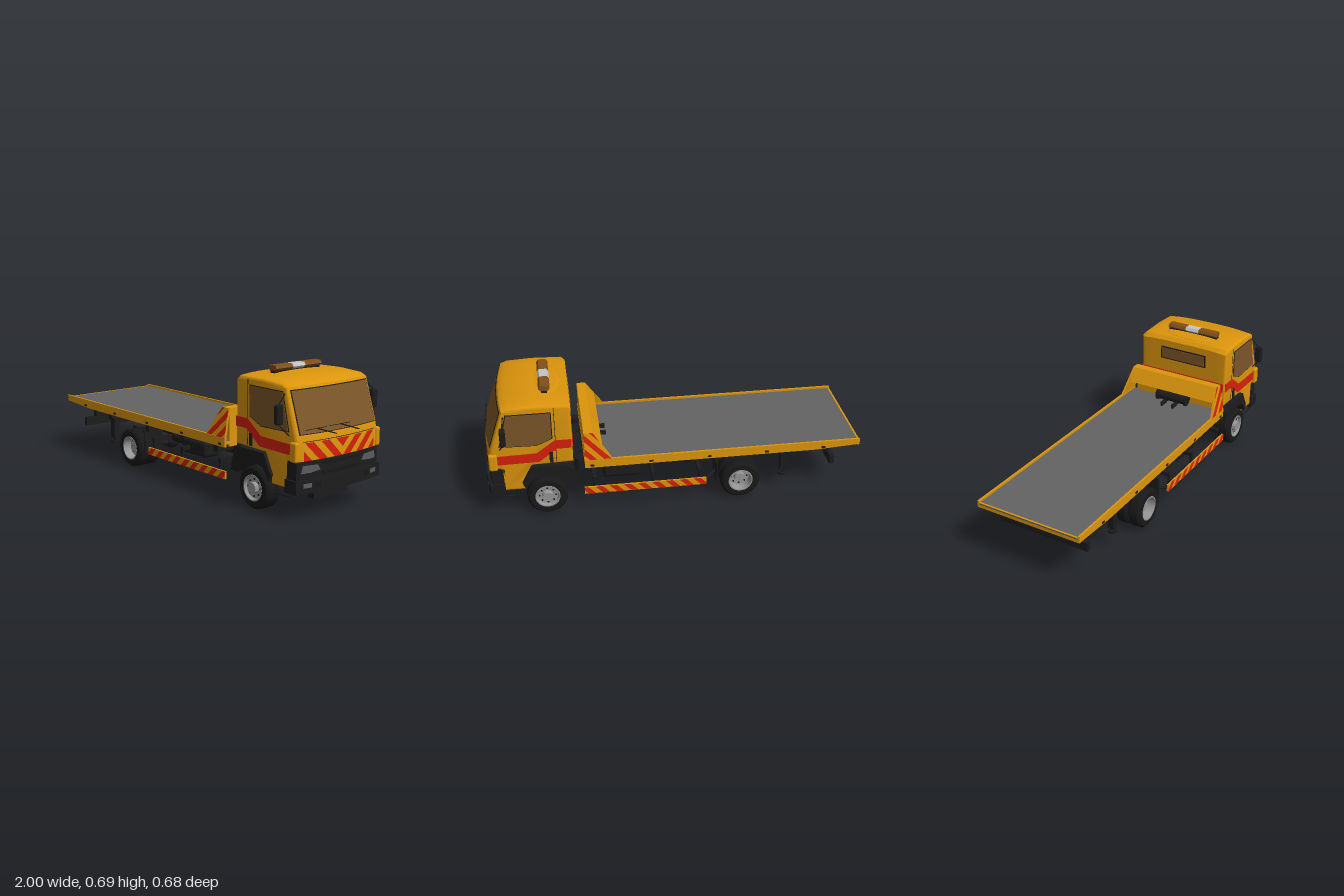
import * as THREE from 'three';
import { toCreasedNormals } from 'three/addons/utils/BufferGeometryUtils.js';
import { RoundedBoxGeometry } from 'three/addons/geometries/RoundedBoxGeometry.js';

const mat = (name, color) => {
  const m = new THREE.MeshStandardMaterial({ color });
  m.name = name;
  return m;
};

export function createModel() {
  const root = new THREE.Group();
  root.name = 'flatbedTruck';
  const yellow = mat('yellowPaint', 0xdc950c), red = mat('redPaint', 0xd6200c);
  const black = mat('blackPlastic', 0x1c1c1e), rubber = mat('tyreRubber', 0x181818);
  const deckGrey = mat('deckGrey', 0x636363), steel = mat('wheelSteel', 0x959595);
  const glass = mat('tintedGlass', 0x7c5629), amber = mat('beaconAmber', 0x80501a);
  const white = mat('beaconWhite', 0xc4c4c4), lampGrey = mat('lampGrey', 0x5c5c5c);

  const add = (name, geo, material, x = 0, y = 0, z = 0) => {
    const m = new THREE.Mesh(geo, material);
    m.name = name;
    m.position.set(x, y, z);
    root.add(m);
    return m;
  };
  // Box given by its min and max on each axis
  const box = (name, material, x0, x1, y0, y1, z0, z1) =>
    add(name, new THREE.BoxGeometry(x1 - x0, y1 - y0, z1 - z0), material, (x0 + x1) / 2, (y0 + y1) / 2, (z0 + z1) / 2);
  const rod = (name, material, a, b, r) => {
    const p = new THREE.Vector3(...a), q = new THREE.Vector3(...b), d = q.clone().sub(p);
    const m = add(name, new THREE.CylinderGeometry(r, r, d.length(), 10), material);
    m.position.copy(p).add(q).multiplyScalar(0.5);
    m.quaternion.setFromUnitVectors(new THREE.Vector3(0, 1, 0), d.normalize());
  };
  const shapeOf = pts => new THREE.Shape(pts.map(p => new THREE.Vector2(p[0], p[1])));
  // Prism with an x-y outline between z0 and z1
  const prism = (name, material, pts, z0, z1) =>
    add(name, new THREE.ExtrudeGeometry(shapeOf(pts), { depth: z1 - z0, bevelEnabled: false }), material, 0, 0, z0);
  // The same on side s, from z outward by d
  const plate = (name, material, pts, z, d, s) =>
    s > 0 ? prism(name, material, pts, z, z + d) : prism(name, material, pts, -z - d, -z);

  // Diagonal bands cut out of a convex polygon
  const clip = (poly, f) => {
    const out = [];
    poly.forEach((a, i) => {
      const b = poly[(i + 1) % poly.length], fa = f(a), fb = f(b);
      if (fa >= 0) out.push(a);
      if (fa * fb < 0) {
        const t = fa / (fa - fb);
        out.push([a[0] + (b[0] - a[0]) * t, a[1] + (b[1] - a[1]) * t]);
      }
    });
    return out;
  };
  const bands = (poly, start, period, width, count) => {
    const out = [];
    for (let i = 0; i < count; i++) {
      const c = start + i * period;
      const p = clip(clip(poly, q => q[0] - q[1] - c), q => c + width - q[0] + q[1]);
      if (p.length > 2) out.push(p);
    }
    return out;
  };

  // Curved nose: everything on the front bows back towards the sides
  const bow = (x, z) => 0.36 * z * z * THREE.MathUtils.clamp((x - 0.7) / 0.3, 0, 1);
  const bend = geo => {
    const p = geo.attributes.position;
    for (let i = 0; i < p.count; i++) p.setX(i, p.getX(i) - bow(p.getX(i), p.getZ(i)));
    geo.computeVertexNormals();
    return geo;
  };
  const frontX = y => y > 0.4 ? 0.9 + (0.625 - y) / 0.21 * 0.075 : 0.985;
  const bentBox = (name, material, x0, x1, y0, y1, w) => {
    const g = new THREE.BoxGeometry(x1 - x0, y1 - y0, 2 * w, 1, 1, 14);
    add(name, toCreasedNormals(bend(g.translate((x0 + x1) / 2, (y0 + y1) / 2, 0)), 0.6), material);
  };
  const onFront = (name, geo, material, off) => {
    geo.rotateY(Math.PI / 2);
    const p = geo.attributes.position;
    for (let i = 0; i < p.count; i++) p.setX(i, frontX(p.getY(i)) + off);
    add(name, bend(geo), material);
  };

  // Cab shell with a crowned roof
  const cab = new THREE.ExtrudeGeometry(shapeOf([[0.535, 0.3], [0.535, 0.63], [0.555, 0.65], [0.72, 0.655], [0.865, 0.648],
    [0.9, 0.625], [0.975, 0.415], [0.985, 0.375], [0.985, 0.285], [0.935, 0.285], [0.93, 0.15], [0.8, 0.15], [0.79, 0.21], [0.75, 0.295]]),
    { depth: 0.52, steps: 10, bevelSize: 0.015, bevelThickness: 0.015, bevelOffset: -0.015, bevelSegments: 4 }).translate(0, 0, -0.26);
  const cp = cab.attributes.position;
  for (let i = 0; i < cp.count; i++) if (cp.getY(i) > 0.628) cp.setY(i, cp.getY(i) - 0.01 * (cp.getZ(i) / 0.27) ** 4);
  add('cab', toCreasedNormals(bend(cab), 0.6), yellow);
  const mound = add('roofMound', new THREE.SphereGeometry(1, 24, 12), yellow, 0.645, 0.65, 0);
  mound.scale.set(0.075, 0.009, 0.16);

  // Windscreen, nose chevrons, lamps
  onFront('windscreenSeal', new THREE.PlaneGeometry(0.514, 0.203, 16, 1).translate(0, 0.512, 0), black, 0.003);
  onFront('windscreen', new THREE.PlaneGeometry(0.504, 0.195, 16, 1).translate(0, 0.512, 0), glass, 0.006);
  onFront('noseSeam', new THREE.PlaneGeometry(0.48, 0.003, 16, 1).translate(0, 0.379, 0), black, 0.002);
  for (const s of [1, -1]) {
    for (const p of bands([[0, 0], [0.237, 0], [0.237, 0.086], [0, 0.086]], -0.092, 0.094, 0.05, 4))
      onFront('noseChevron', new THREE.ShapeGeometry(shapeOf(p.map(q => [-s * q[0], q[1] + 0.288]))), red, 0.004);
    onFront('headlight', new THREE.ShapeGeometry(shapeOf([[0.14, 0.238], [0.155, 0.265], [0.242, 0.268], [0.253, 0.23], [0.2, 0.231]]
      .map(q => [-s * q[0], q[1]]))), lampGrey, 0.005);
    onFront('fogLamp', new THREE.PlaneGeometry(0.046, 0.022).translate(s * 0.223, 0.174, 0), lampGrey, 0.017);
    onFront('fogLampRecess', new THREE.PlaneGeometry(0.036, 0.03).translate(s * 0.163, 0.172, 0), rubber, 0.017);
  }
  bentBox('grille', black, 0.91, 0.986, 0.195, 0.287, 0.275);
  for (const y of [0.222, 0.268]) bentBox('grilleSlat', rubber, 0.95, 0.991, y - 0.007, y + 0.007, 0.125);
  bentBox('bumper', black, 0.915, 1, 0.135, 0.198, 0.285);

  // Wipers
  for (const z of [0.165, 0.01]) {
    rod('wiperBlade', black, [0.974, 0.436, z + 0.07], [0.976, 0.436, z - 0.068], 0.0015);
    rod('wiperArm', black, [0.976, 0.436, z - 0.005], [0.986, 0.397, z - 0.122], 0.003);
  }

  // Beacon bar and rear cab face
  const beacon = [[0.643, 0.663], [0.63, 0.675], [0.64, 0.69], [0.68, 0.69], [0.69, 0.675], [0.677, 0.663]];
  box('beaconFoot', black, 0.645, 0.675, 0.65, 0.664, -0.153, 0.153);
  prism('beaconLeft', amber, beacon, 0.041, 0.153);
  prism('beaconCentre', white, beacon, -0.041, 0.041);
  prism('beaconRight', amber, beacon, -0.153, -0.041);
  box('rearWindowSeal', black, 0.532, 0.536, 0.515, 0.59, -0.145, 0.145);
  box('rearWindow', glass, 0.529, 0.536, 0.522, 0.583, -0.137, 0.137);
  box('rearStripe', red, 0.531, 0.537, 0.388, 0.44, -0.262, 0.262);

  // Wheels
  const wheel = (x, z, w, s, hub) => {
    const h = w / 2, g = new THREE.Group();
    g.name = 'wheel';
    const lathe = (pts, m, name) => {
      const geo = new THREE.LatheGeometry(pts.map(p => new THREE.Vector2(p[0], p[1])), 32).rotateX(Math.PI / 2);
      const mesh = new THREE.Mesh(toCreasedNormals(geo, 0.6), m);
      mesh.name = name;
      g.add(mesh);
    };
    lathe([[0, -h + 0.01], [0.06, -h], [0.095, -h], [0.107, -h + 0.012], [0.108, 0], [0.107, h - 0.012], [0.095, h], [0.066, h], [0.06, h - 0.025]], rubber, 'tyre');
    lathe([[0.066, h - 0.006], [0.066, h + 0.002], [0.06, h + 0.002], [0.054, h - 0.018 + hub], [0.03, h - 0.02 + hub], [0.026, h + hub], [0, h + hub]], steel, 'rim');
    for (let i = 0; i < 8; i++) {
      const hole = new THREE.Mesh(new THREE.CylinderGeometry(0.005, 0.005, 0.004, 8).rotateX(Math.PI / 2), rubber);
      hole.name = 'rimHole';
      hole.position.set(0.043 * Math.cos(i * Math.PI / 4), 0.043 * Math.sin(i * Math.PI / 4), h - 0.018 + hub);
      g.add(hole);
    }
    g.position.set(x, 0.108, s * z);
    if (s < 0) g.rotation.y = Math.PI;
    root.add(g);
  };

  const windowPts = [[0.64, 0.602], [0.862, 0.602], [0.905, 0.425], [0.72, 0.42], [0.64, 0.455]];
  const headPts = [[0.335, 0.32], [0.43, 0.465], [0.476, 0.465], [0.476, 0.318]];
  // Headboard cheeks lean inward above the rail
  const lean = (mesh, s) => {
    const p = mesh.geometry.attributes.position;
    for (let i = 0; i < p.count; i++) p.setZ(i, p.getZ(i) - s * 0.18 * (p.getY(i) - 0.318));
    mesh.geometry.computeVertexNormals();
  };
  for (const s of [1, -1]) {
    wheel(0.68, 0.247, 0.09, s, 0.006);
    wheel(-0.355, 0.259, 0.068, s, -0.025);
    wheel(-0.355, 0.184, 0.068, s, -0.025);

    // Cab side: glass, stripe, seams, handle, corner panel, mirror
    plate('sideWindowSeal', black, windowPts.map(([x, y]) => [0.76 + (x - 0.76) * 1.04, 0.51 + (y - 0.51) * 1.05]), 0.274, 0.003, s);
    plate('sideWindow', glass, windowPts, 0.274, 0.006, s);
    plate('cabStripe', red, [[0.54, 0.39], [0.54, 0.44], [0.625, 0.44], [0.72, 0.37], [0.93, 0.366], [0.93, 0.315], [0.71, 0.318], [0.615, 0.39]], 0.273, 0.005, s);
    plate('doorSeam', black, [[0.62, 0.31], [0.62, 0.63], [0.623, 0.63], [0.623, 0.31]], 0.273, 0.003, s);
    plate('doorHandle', black, [[0.638, 0.31], [0.638, 0.372], [0.657, 0.372], [0.657, 0.31]], 0.273, 0.008, s);
    add('cornerPanel', new RoundedBoxGeometry(0.045, 0.095, 0.03, 3, 0.01), yellow, 0.946, 0.333, s * 0.274);
    add('mirror', new RoundedBoxGeometry(0.03, 0.095, 0.04, 3, 0.01), black, 0.885, 0.506, s * 0.321);
    rod('mirrorArmUpper', black, [0.875, 0.602, s * 0.268], [0.885, 0.55, s * 0.322], 0.003);
    rod('mirrorArmLower', black, [0.91, 0.4, s * 0.27], [0.885, 0.46, s * 0.322], 0.003);
    rod('stepRail', black, [0.82, 0.112, s * 0.265], [0.92, 0.112, s * 0.265], 0.004);
    for (const x of [0.82, 0.92]) rod('stepHanger', black, [x, 0.112, s * 0.265], [x, 0.16, s * 0.265], 0.004);
    plate('frontMudguard', black, [[0.52, 0.19], [0.54, 0.265], [0.575, 0.295], [0.755, 0.295], [0.805, 0.2], [0.79, 0.165], [0.75, 0.225],
      [0.68, 0.245], [0.61, 0.225], [0.565, 0.165], [0.52, 0.165]], 0.15, 0.143, s);

    // Bed side rail, headboard cheek and their details
    plate('bedRail', yellow, [[-1, 0.285], [-1, 0.318], [0.478, 0.318], [0.478, 0.27], [-0.75, 0.27]], 0.288, 0.011, s);
    lean(plate('headboardCheek', yellow, headPts, 0.287, 0.012, s), s);
    for (const p of bands(headPts, -0.055, 0.075, 0.037, 4)) lean(plate('headboardStripe', red, p, 0.297, 0.004, s), s);
    for (const x of [-0.8, -0.49, -0.18, 0.13, 0.44]) plate('railLatch', black, [[x - 0.01, 0.279], [x - 0.01, 0.289], [x + 0.01, 0.289], [x + 0.01, 0.279]], 0.297, 0.005, s);

    // Striped side guard
    const guard = [[-0.165, 0.11], [0.485, 0.11], [0.485, 0.15], [-0.165, 0.15]];
    plate('sideGuard', yellow, guard, 0.292, 0.01, s);
    for (const p of bands(guard, -0.285, 0.075, 0.037, 10)) plate('guardStripe', red, p, 0.3, 0.004, s);
    const z0 = Math.min(s * 0.08, s * 0.292), z1 = Math.max(s * 0.08, s * 0.292);
    for (const x of [-0.13, 0.12, 0.43]) {
      box('guardArm', black, x - 0.01, x + 0.01, 0.185, 0.205, z0, z1);
      rod('guardLeg', black, [x, 0.12, s * 0.285], [x, 0.2, s * 0.285], 0.008);
    }

    // Chassis rail, tanks, stabiliser leg, rear mudflap
    plate('chassisRail', black, [[-0.86, 0.205], [-0.86, 0.24], [0.92, 0.24], [0.92, 0.185], [-0.3, 0.185], [-0.6, 0.205]], 0.08, 0.025, s);
    plate('bedSubframe', black, [[-0.77, 0.245], [-0.77, 0.268], [0.5, 0.268], [0.5, 0.24]], 0.09, 0.03, s);
    add('sideTank', new RoundedBoxGeometry(0.2, 0.085, 0.11, 3, 0.02), black, s > 0 ? 0.15 : 0.28, 0.2, s * 0.185);
    rod('airTank', black, [-0.1, 0.205, s * 0.16], [0.03, 0.205, s * 0.16], 0.032);
    box('stabiliserLeg', black, -0.62, -0.585, 0.115, 0.235, s * 0.225 - 0.018, s * 0.225 + 0.018);
    rod('stabiliserFoot', black, [-0.602, 0.088, s * 0.225], [-0.602, 0.1, s * 0.225], 0.026);
    rod('stabiliserRam', black, [-0.602, 0.09, s * 0.225], [-0.602, 0.13, s * 0.225], 0.012);
    rod('guardBrace', black, [-0.24, 0.14, s * 0.2], [-0.165, 0.13, s * 0.285], 0.008);
    box('rearMudflap', black, -0.232, -0.225, 0.1, 0.215, s * 0.22 - 0.06, s * 0.22 + 0.06);
    plate('leafSpring', black, [[-0.55, 0.185], [-0.36, 0.15], [-0.17, 0.185], [-0.17, 0.172], [-0.36, 0.132], [-0.55, 0.172]], 0.105, 0.03, s);
    rod('cabMount', black, [0.503, 0.21, s * 0.21], [0.503, 0.285, s * 0.21], 0.024);
    box('axleBracket', black, 0.65, 0.71, 0.065, 0.19, s * 0.13 - 0.012, s * 0.13 + 0.012);
  }

  // Bed floor and headboard
  box('bedFloor', yellow, -1, 0.478, 0.284, 0.3, -0.29, 0.29);
  box('deck', deckGrey, -1, 0.476, 0.299, 0.307, -0.288, 0.288);
  box('bedTailEdge', yellow, -1, -0.99, 0.282, 0.308, -0.298, 0.298);
  box('bedUnderTray', black, -0.72, 0.47, 0.265, 0.285, -0.12, 0.12);
  box('headboardWall', yellow, 0.464, 0.477, 0.27, 0.464, -0.266, 0.266);
  prism('headboardBeam', yellow, [[0.382, 0.39], [0.43, 0.465], [0.476, 0.465], [0.476, 0.455], [0.436, 0.455], [0.392, 0.385]], -0.266, 0.266);

  // Winch
  rod('winchDrum', black, [0.415, 0.345, -0.08], [0.415, 0.345, 0.08], 0.028);
  for (const z of [-0.09, -0.035, 0.035, 0.09]) rod('winchFlange', black, [0.415, 0.345, z - 0.006], [0.415, 0.345, z + 0.006], 0.035);
  for (const z of [-0.035, 0.035]) box('winchGuide', black, 0.345, 0.4, 0.305, 0.33, z - 0.006, z + 0.006);

  // Chassis cross members, engine, axles, tail bar
  for (const x of [-0.84, -0.6, -0.3, 0.02, 0.3, 0.5]) box('crossMember', black, x - 0.015, x + 0.015, 0.2, 0.235, -0.21, 0.21);
  for (const x of [-0.7, -0.45, -0.15, 0.1, 0.35]) box('bedBearer', black, x - 0.012, x + 0.012, 0.262, 0.285, -0.27, 0.27);
  box('engine', black, 0.57, 0.93, 0.135, 0.29, -0.125, 0.125);
  box('frontCrossBeam', black, 0.88, 0.92, 0.075, 0.12, -0.115, 0.115);
  box('cabFloor', black, 0.56, 0.93, 0.24, 0.298, -0.2, 0.2);
  box('cabBridge', black, 0.485, 0.53, 0.21, 0.255, -0.215, 0.215);
  for (const x of [0.68, -0.355]) rod('axle', black, [x, 0.108, -0.22], [x, 0.108, 0.22], 0.022);
  add('differential', new THREE.SphereGeometry(0.045, 16, 12), black, -0.355, 0.11, 0);
  rod('driveShaft', black, [-0.34, 0.12, 0], [0.58, 0.18, 0], 0.014);
  box('tailBar', black, -0.88, -0.855, 0.145, 0.195, -0.26, 0.26);
  for (const z of [-0.09, 0.09]) box('tailBarHanger', black, -0.87, -0.83, 0.165, 0.225, z - 0.012, z + 0.012);
  return root;
}
